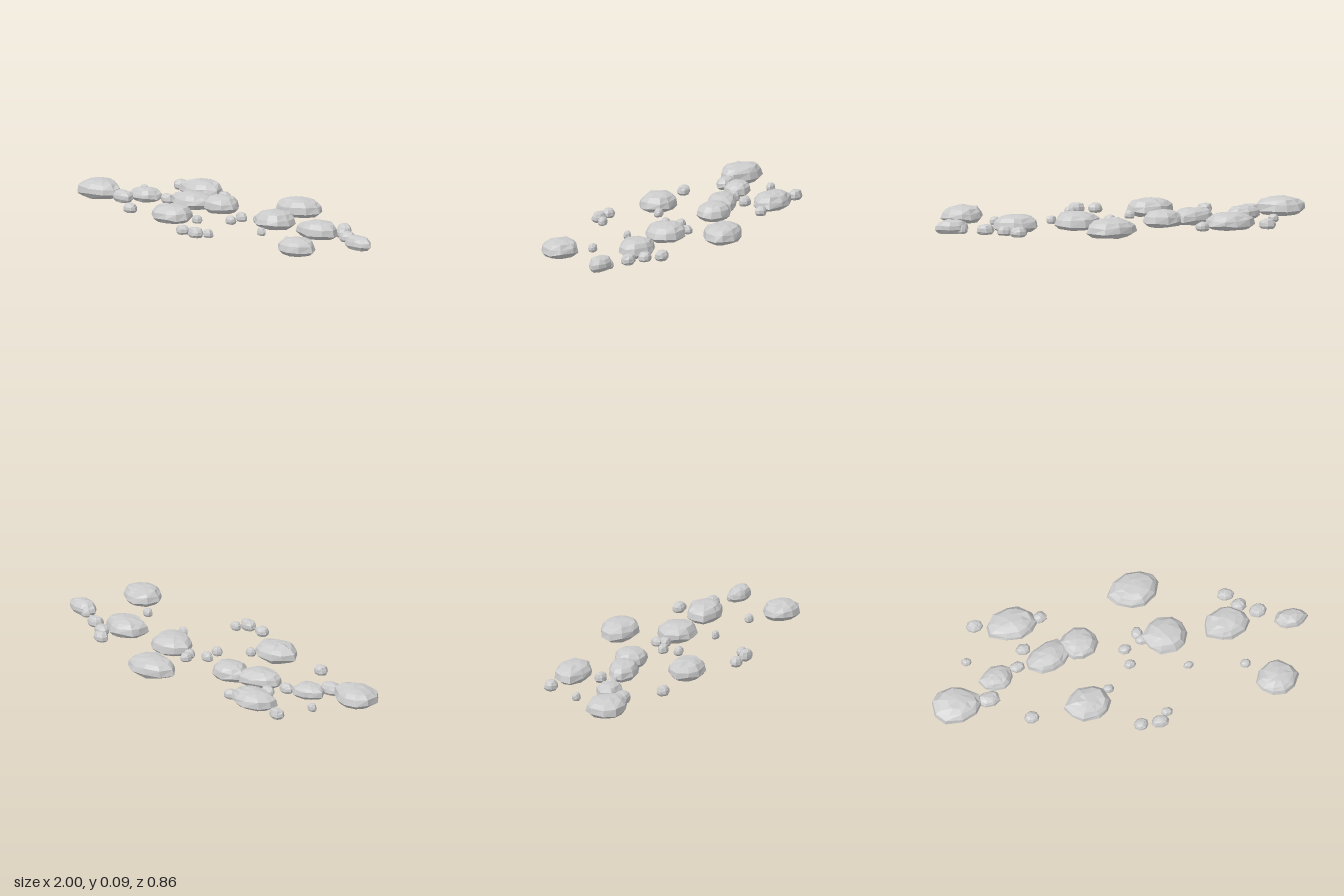
import * as THREE from 'three';

// Small seeded generator for the chipped facets
function makeRandom(seed) {
  let s = seed;
  return () => {
    s = (s * 16807) % 2147483647;
    return s / 2147483647;
  };
}

// Stone profile from underside to crown: [height fraction, outline scale]
const PROFILE = [[0.05, 0.76], [0.3, 1], [0.62, 0.94], [0.86, 0.74], [0.96, 0.42]];

// Irregular oval within a 1 x 1 square, sheared in plan and drawn out at one angle
function plan(sides, shear, pointAngle, point, random) {
  const corners = [];
  for (let i = 0; i < sides; i++) {
    const wobble = i === 0 ? 0 : (random() - 0.5) * 0.4;
    const angle = pointAngle + ((i + wobble) / sides) * Math.PI * 2;
    const r = i === 0 ? point : 0.95 + random() * 0.1;
    const x = Math.cos(angle) * r;
    corners.push(new THREE.Vector2(x, Math.sin(angle) * r + shear * x));
  }
  const box = new THREE.Box2().setFromPoints(corners);
  const centre = box.getCenter(new THREE.Vector2());
  const size = box.getSize(new THREE.Vector2());
  return corners.map((c) => c.sub(centre).divide(size));
}

// Stacks scaled copies of the outline into a closed, flat-bottomed stone
function stoneGeometry(outline, width, height, depth, random) {
  const jitter = (amount) => (random() * 2 - 1) * amount;
  const n = outline.length;
  const positions = [];
  const index = [];

  PROFILE.forEach(([level, scale], ring) => {
    outline.forEach((corner) => {
      const s = ring === 1 ? 1 : scale + jitter(0.045);
      const y = level + jitter(ring === 0 || ring === 4 ? 0.03 : 0.06);
      positions.push(corner.x * width * s, y * height, corner.y * depth * s);
    });
  });
  const bottom = PROFILE.length * n;
  const last = bottom - n;
  positions.push(0, 0, 0, jitter(0.05) * width, height, jitter(0.05) * depth);

  for (let i = 0; i < n; i++) {
    const j = (i + 1) % n;
    for (let a = 0; a < last; a += n) {
      const b = a + n;
      index.push(a + j, a + i, b + i, a + j, b + i, b + j);
    }
    index.push(bottom, i, j, last + j, last + i, bottom + 1);
  }

  const geometry = new THREE.BufferGeometry();
  geometry.setAttribute('position', new THREE.Float32BufferAttribute(positions, 3));
  geometry.setIndex(index);
  return geometry;
}

// Large stones: x, z, width, depth, height, shear, angle of the point in degrees
const STONES = [
  [-0.875, 0.1, 0.25, 0.2, 0.093, 0.1, 120],
  [-0.51, -0.28, 0.26, 0.18, 0.09, 0.05, 150],
  [-0.65, -0.005, 0.18, 0.13, 0.072, -0.1, 185],
  [-0.365, -0.065, 0.23, 0.17, 0.085, -0.2, 300],
  [-0.195, -0.105, 0.21, 0.17, 0.09, 0, 190],
  [-0.215, 0.23, 0.25, 0.18, 0.092, 0, 180],
  [0.14, -0.335, 0.28, 0.19, 0.094, -0.1, 180],
  [0.25, -0.06, 0.24, 0.2, 0.092, 0, 185],
  [0.58, -0.06, 0.24, 0.18, 0.09, 0, 150],
  [0.775, 0.285, 0.23, 0.19, 0.09, 0, 0],
  [0.91, -0.02, 0.18, 0.1, 0.073, 0, 0],
];

// Pebbles: x, z, width, depth
const PEBBLES = [
  [-0.7, -0.31, 0.09, 0.07], [-0.36, -0.29, 0.075, 0.06], [-0.78, -0.125, 0.055, 0.04],
  [-0.48, -0.135, 0.08, 0.06], [-0.53, -0.045, 0.08, 0.06], [-0.51, 0.24, 0.08, 0.065],
  [-0.71, 0.1, 0.12, 0.08], [-0.09, 0.165, 0.06, 0.045], [0.035, -0.03, 0.07, 0.05],
  [0.045, 0.055, 0.065, 0.05], [0.115, -0.105, 0.06, 0.065], [0.13, -0.065, 0.07, 0.055],
  [0.34, 0.12, 0.055, 0.04], [0.035, 0.39, 0.075, 0.065], [0.135, 0.395, 0.095, 0.065],
  [0.18, 0.35, 0.06, 0.045], [0.605, -0.22, 0.09, 0.065], [0.66, -0.15, 0.08, 0.065],
  [0.75, -0.1, 0.095, 0.075], [0.63, 0.17, 0.055, 0.045], [0.865, -0.05, 0.065, 0.045],
];

export function createModel() {
  const model = new THREE.Group();
  model.name = 'scatteredStones';
  const grey = new THREE.MeshStandardMaterial({ color: 0xcccccc, flatShading: true });
  grey.name = 'stone grey';

  const add = (name, outline, x, z, width, height, depth, random) => {
    const mesh = new THREE.Mesh(stoneGeometry(outline, width, height, depth, random), grey);
    mesh.name = name;
    mesh.position.set(x, 0, z);
    model.add(mesh);
  };

  STONES.forEach(([x, z, w, d, h, shear, angle], i) => {
    const random = makeRandom(7919 * (i + 3));
    const outline = plan(10, shear, THREE.MathUtils.degToRad(angle), 1.15, random);
    add(`stone${i + 1}`, outline, x, z, w, h, d, random);
  });

  PEBBLES.forEach(([x, z, w, d], i) => {
    const random = makeRandom(104729 * (i + 2));
    const outline = plan(8, 0, random() * Math.PI * 2, 1.05, random);
    add(`pebble${i + 1}`, outline, x, z, w, 0.027 + 0.3 * w, d, random);
  });
  return model;
}
